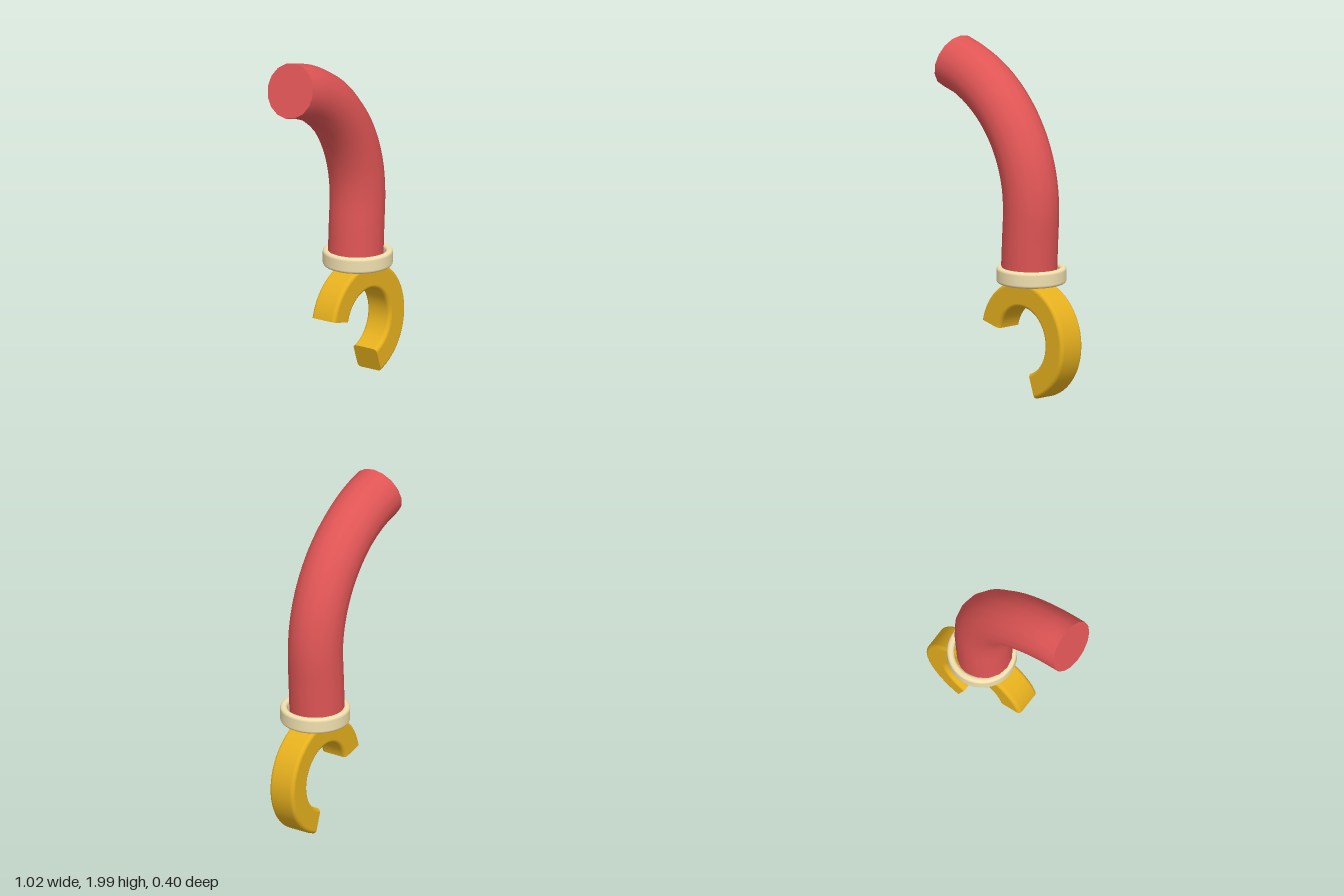
import * as THREE from 'three';

const rad = THREE.MathUtils.degToRad;

// Counter-clockwise rounded rectangle between radii r0..r1 and heights -h..h
function roundedSection(r0, r1, h, c) {
  const s = new THREE.Shape();
  s.moveTo(r1, -h + c);
  s.absarc(r1 - c, h - c, c, 0, Math.PI / 2);
  s.absarc(r0 + c, h - c, c, Math.PI / 2, Math.PI);
  s.absarc(r0 + c, -h + c, c, Math.PI, Math.PI * 1.5);
  s.absarc(r1 - c, -h + c, c, Math.PI * 1.5, Math.PI * 2);
  return s;
}

function revolve(section, segments, start = 0, length = Math.PI * 2) {
  const pts = section.getPoints(5);
  if (pts[0].distanceTo(pts[pts.length - 1]) > 1e-5) pts.push(pts[0].clone());
  return new THREE.LatheGeometry(pts, segments, start, length);
}

function addMesh(parent, name, geometry, material) {
  const mesh = new THREE.Mesh(geometry, material);
  mesh.name = name;
  parent.add(mesh);
  return mesh;
}

export function createModel() {
  const model = new THREE.Group();
  model.name = 'hookArm';
  const red = new THREE.MeshStandardMaterial({ color: 0xe05555 });
  const cream = new THREE.MeshStandardMaterial({ color: 0xf0dfae });
  const gold = new THREE.MeshStandardMaterial({ color: 0xe6b01e, side: THREE.DoubleSide });

  // Arm: short straight forearm, then a circular bend to the shoulder
  const arm = new THREE.Group();
  arm.name = 'arm';
  model.add(arm);
  const points = [new THREE.Vector3(0.138, 0.72, 0), new THREE.Vector3(0.147, 0.9, 0)];
  for (let i = 0; i <= 8; i++) {
    const a = rad(79 * i / 8);
    points.push(new THREE.Vector3(-0.625 + 0.78 * Math.cos(a), 1.08 + 0.78 * Math.sin(a), 0));
  }
  const path = new THREE.CatmullRomCurve3(points);
  const armRadius = 0.16;
  addMesh(arm, 'sleeve', new THREE.TubeGeometry(path, 40, armRadius, 16), red);
  for (const [name, t, sign] of [['wristEnd', 0, -1], ['shoulderEnd', 1, 1]]) {
    const cap = addMesh(arm, name, new THREE.CircleGeometry(armRadius, 16), red);
    const p = path.getPointAt(t);
    cap.position.copy(p);
    cap.lookAt(p.clone().addScaledVector(path.getTangentAt(t), sign));
  }

  // Cuff ring around the wrist
  const cuff = addMesh(model, 'cuff', revolve(roundedSection(0.16, 0.2, 0.047, 0.018), 48), cream);
  cuff.position.set(0.158, 0.702, 0);

  // Open C-shaped hook with flat ends
  const hook = new THREE.Group();
  hook.name = 'hook';
  hook.position.set(0.16, 0.326, 0);
  hook.rotation.x = Math.PI / 2;
  model.add(hook);
  const section = roundedSection(0.193, 0.34, 0.083, 0.022);
  const start = rad(19), sweep = rad(238);
  addMesh(hook, 'hookBody', revolve(section, 48, start, sweep), gold);
  for (const [name, phi] of [['lowerTip', start], ['upperTip', start + sweep]]) {
    const tip = addMesh(hook, name, new THREE.ShapeGeometry(section, 5), gold);
    tip.rotation.y = phi - Math.PI / 2;
  }
  return model;
}
